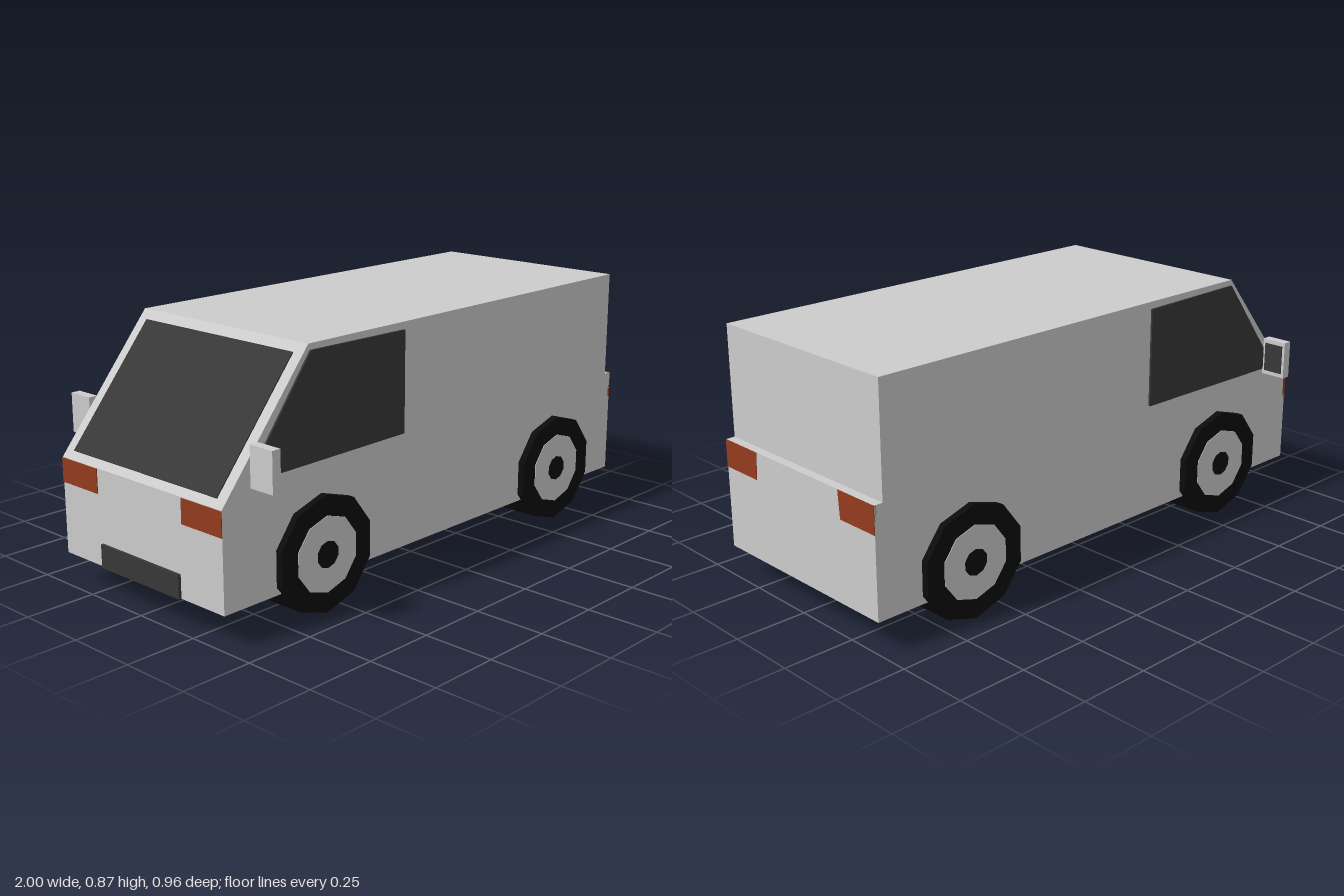
import * as THREE from 'three';

const mat = (color) => new THREE.MeshStandardMaterial({ color, flatShading: true });

export function createModel() {
  const van = new THREE.Group();
  van.name = 'van';
  const grey = mat(0xcccccc), glass = mat(0x383838), rubber = mat(0x0c0c0c), orange = mat(0x933b1d);

  const add = (name, geometry, material, parent = van) => {
    const mesh = new THREE.Mesh(geometry, material);
    mesh.name = name;
    parent.add(mesh);
    return mesh;
  };
  // Box given by its lower and upper limits on each axis
  const box = (name, material, [x0, x1], [y0, y1], [z0, z1]) => {
    const mesh = add(name, new THREE.BoxGeometry(x1 - x0, y1 - y0, z1 - z0), material);
    mesh.position.set((x0 + x1) / 2, (y0 + y1) / 2, (z0 + z1) / 2);
    return mesh;
  };
  // Side outline extruded across z
  const slab = (points, z0, z1) => {
    const shape = new THREE.Shape(points.map(([x, y]) => new THREE.Vector2(x, y)));
    return new THREE.ExtrudeGeometry(shape, { depth: z1 - z0, bevelEnabled: false }).translate(0, 0, z0);
  };

  // Body shell with sloping nose and a small step at the tail
  const noseLow = [-0.99, 0.44], noseTop = [-0.63, 0.875];
  add('body', slab([
    [-0.99, 0.11], [1, 0.11], [1, 0.49], [0.968, 0.49], [0.968, 0.875], noseTop, noseLow,
  ], -0.385, 0.385), grey);

  // Windscreen lying on the slope
  const dx = noseTop[0] - noseLow[0], dy = noseTop[1] - noseLow[1];
  const windscreen = add('windscreen', new THREE.BoxGeometry(Math.hypot(dx, dy) * 0.88, 0.008, 0.69), glass);
  windscreen.position.set(noseLow[0] + dx * 0.493, noseLow[1] + dy * 0.493, 0);
  windscreen.rotation.z = Math.atan2(dy, dx);

  // Front grille
  box('grille', glass, [-1, -0.98], [0.11, 0.19], [-0.19, 0.19]);

  const windowOutline = [[-0.835, 0.5], [-0.2, 0.505], [-0.2, 0.85], [-0.625, 0.855], [-0.835, 0.58]];
  for (const side of [1, -1]) {
    const span = (a, b) => (side > 0 ? [a, b] : [-b, -a]);

    // Side window
    add('sideWindow', slab(windowOutline, ...span(0.38, 0.392)), glass);

    // Lamps
    box('headlamp', orange, [-0.993, -0.98], [0.355, 0.438], span(0.205, 0.385));
    const tail = new THREE.Shape([[0.385, 0.395], [0.385, 0.49], [0.212, 0.49], [0.22, 0.395]]
      .map(([z, y]) => new THREE.Vector2(-z * side, y)));
    const tailGeometry = new THREE.ExtrudeGeometry(tail, { depth: 0.01, bevelEnabled: false });
    tailGeometry.rotateY(Math.PI / 2).translate(0.992, 0, 0);
    add('tailLamp', tailGeometry, orange);

    // Door mirror with rear-facing glass
    box('mirrorHousing', grey, [-0.875, -0.842], [0.48, 0.615], span(0.385, 0.48));
    box('mirrorGlass', glass, [-0.85, -0.839], [0.495, 0.6], span(0.395, 0.47));

    // Ten-sided wheels: tyre, rim disc and hub cap
    for (const x of [-0.58, 0.63]) {
      const wheel = new THREE.Group();
      wheel.name = x < 0 ? 'frontWheel' : 'rearWheel';
      const disc = (name, radius, z0, z1, material) => {
        const g = new THREE.CylinderGeometry(radius, radius, z1 - z0, 10);
        g.rotateX(Math.PI / 2).scale(1.05, 1, 1).translate(0, 0, (z0 + z1) / 2);
        add(name, g, material, wheel);
      };
      disc('tyre', 0.196, 0.22, 0.41, rubber);
      disc('rim', 0.128, 0.4, 0.412, grey);
      disc('hubCap', 0.045, 0.405, 0.414, rubber);
      wheel.position.set(x, 0.197, 0);
      wheel.rotation.y = side > 0 ? 0 : Math.PI;
      van.add(wheel);
    }
  }
  return van;
}
